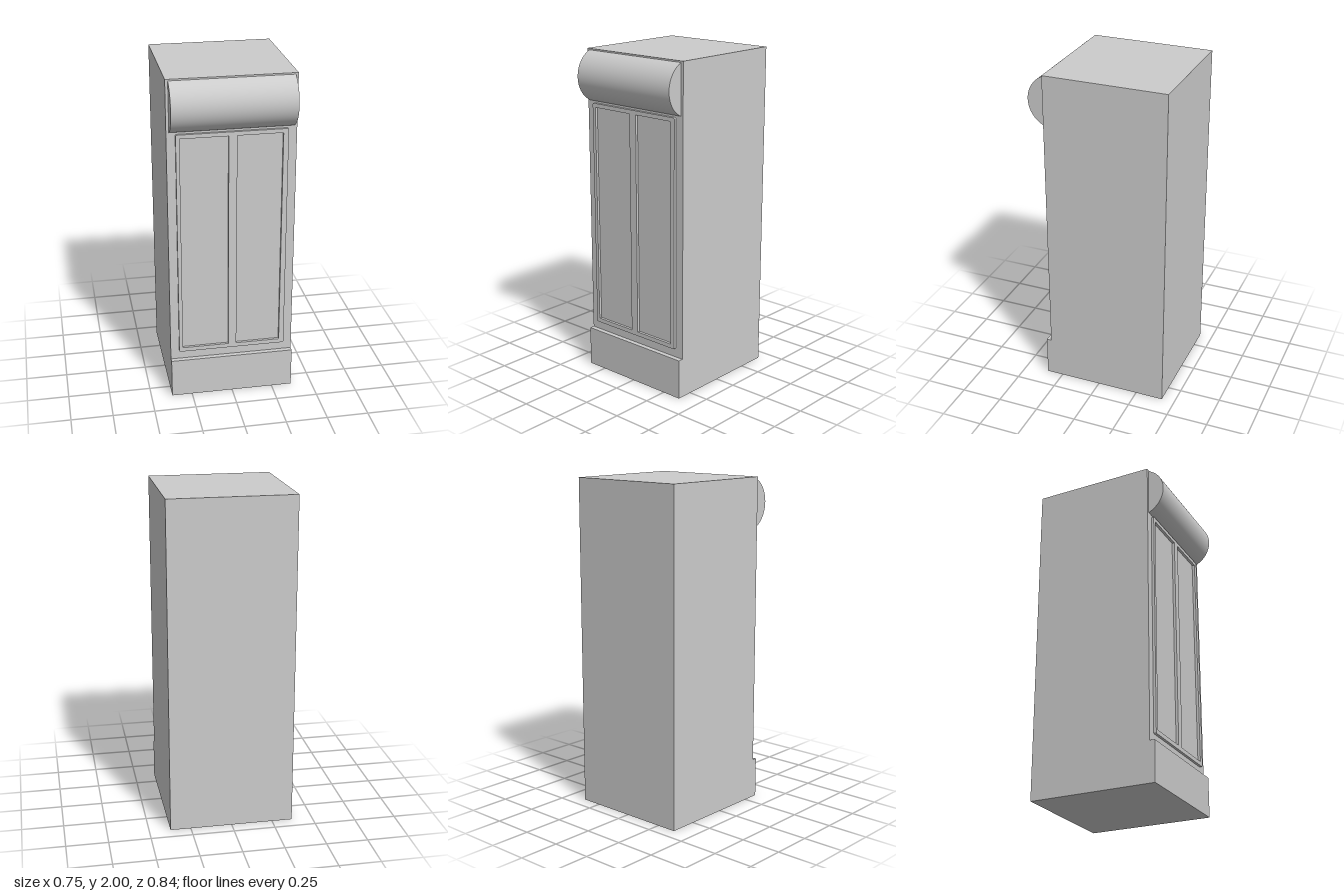
import * as THREE from 'three';

const material = new THREE.MeshStandardMaterial({ color: 0xcccccc });

function addMesh(group, name, geometry) {
  const mesh = new THREE.Mesh(geometry, material);
  mesh.name = name;
  group.add(mesh);
  return mesh;
}

// Rectangle with slightly rounded corners, given by its edges
function roundedRect(path, x0, y0, x1, y1, r) {
  path.moveTo(x0 + r, y0);
  path.lineTo(x1 - r, y0);
  path.absarc(x1 - r, y0 + r, r, -Math.PI / 2, 0, false);
  path.lineTo(x1, y1 - r);
  path.absarc(x1 - r, y1 - r, r, 0, Math.PI / 2, false);
  path.lineTo(x0 + r, y1);
  path.absarc(x0 + r, y1 - r, r, Math.PI / 2, Math.PI, false);
  path.lineTo(x0, y0 + r);
  path.absarc(x0 + r, y0 + r, r, Math.PI, Math.PI * 1.5, false);
  return path;
}

export function createModel() {
  const group = new THREE.Group();
  group.name = 'displayCabinet';

  const width = 0.746, back = -0.42, front = 0.322, plinthFront = 0.352;

  // Cabinet with projecting plinth: side profile (z, y) extruded across the width
  const profile = new THREE.Shape([
    [back, 0], [plinthFront, 0], [plinthFront, 0.243],
    [front, 0.243], [front, 2], [back, 2],
  ].map(([z, y]) => new THREE.Vector2(z, y)));
  const body = new THREE.ExtrudeGeometry(profile, { depth: width, bevelEnabled: false });
  body.rotateY(-Math.PI / 2).translate(width / 2, 0, 0);
  addMesh(group, 'cabinetBody', body);

  // Door frame with two tall openings; the panes are the cabinet front behind it
  const frame = roundedRect(new THREE.Shape(), -0.322, 0.297, 0.322, 1.683, 0.008);
  for (const [x0, x1] of [[-0.3, -0.022], [0.027, 0.292]]) {
    frame.holes.push(roundedRect(new THREE.Path(), x0, 0.323, x1, 1.659, 0.002));
  }
  const frameGeometry = new THREE.ExtrudeGeometry(frame, {
    depth: 0.016, bevelEnabled: false, curveSegments: 4,
  });
  addMesh(group, 'doorFrame', frameGeometry).position.z = front;

  // Curved header: a cylinder sector whose axis lies inside the cabinet
  const radius = 0.161, half = Math.asin(0.148 / radius);
  const header = new THREE.CylinderGeometry(radius, radius, 0.714, 48, 1, false, -half, half * 2);
  header.rotateZ(Math.PI / 2);
  addMesh(group, 'curvedHeader', header).position.set(0, 1.843, 0.259);

  return group;
}
